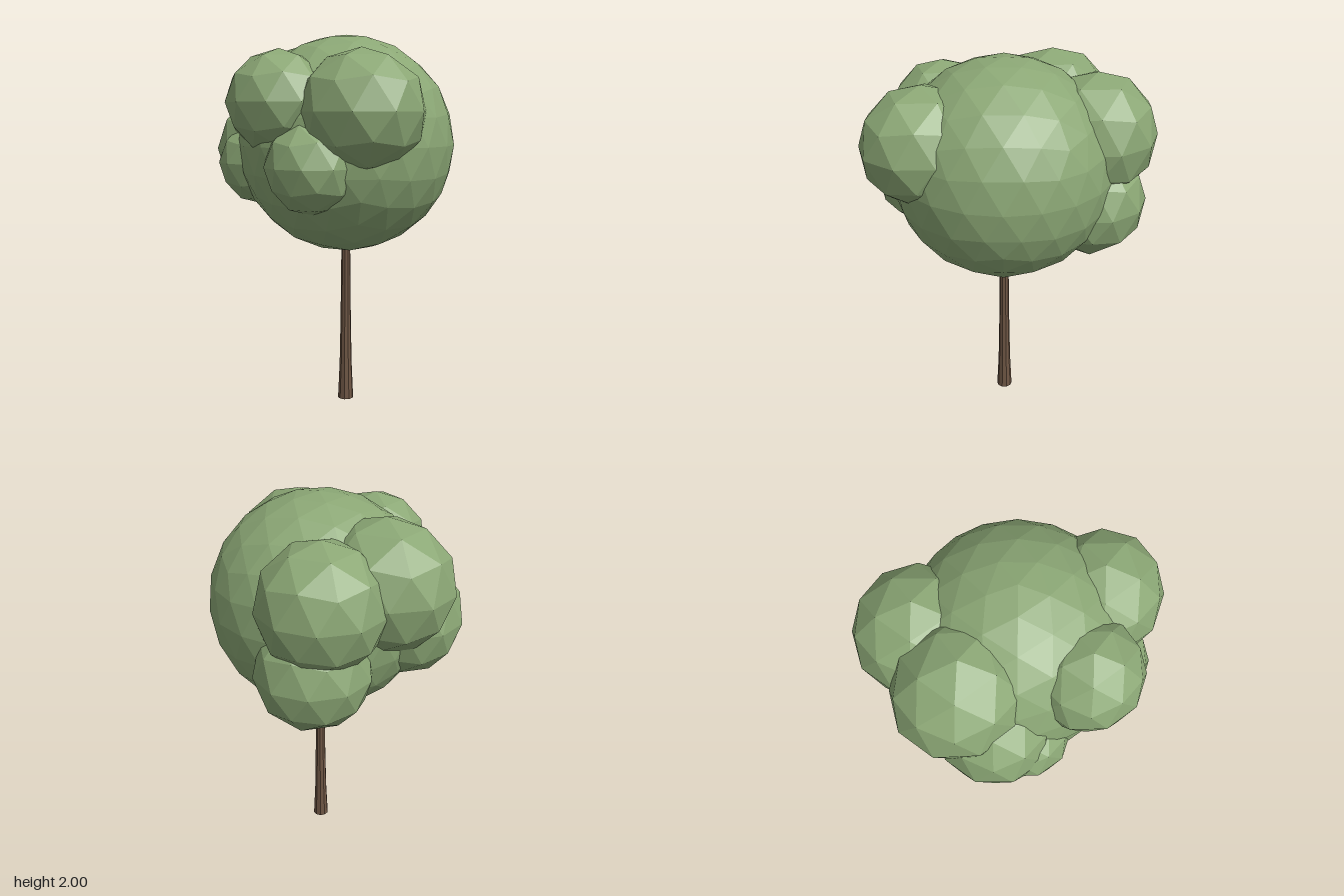
import * as THREE from 'three';

const leafGreen = new THREE.MeshStandardMaterial({ color: 0x8ba775, flatShading: true });
leafGreen.name = 'leafGreen';
const barkBrown = new THREE.MeshStandardMaterial({ color: 0x6e5644, flatShading: true });
barkBrown.name = 'barkBrown';

// Faceted ball with a corner pointing straight up
function leafBall(name, center, radii, detail) {
  const geo = new THREE.IcosahedronGeometry(1, detail);
  geo.rotateZ(-Math.atan(2 / (1 + Math.sqrt(5))));
  geo.scale(...radii);
  geo.computeVertexNormals();
  const ball = new THREE.Mesh(geo, leafGreen);
  ball.name = name;
  ball.position.set(...center);
  return ball;
}

export function createModel() {
  const tree = new THREE.Group();
  tree.name = 'tree';

  // Slim trunk, flared at the foot and closed underneath
  const profile = [[0, 0], [0.043, 0], [0.034, 0.2], [0.029, 0.45], [0.024, 0.9], [0, 0.9]]
    .map(([r, y]) => new THREE.Vector2(r, y));
  const trunk = new THREE.Mesh(new THREE.LatheGeometry(profile, 10), barkBrown);
  trunk.name = 'trunk';
  trunk.position.set(0.045, 0, -0.01);
  tree.add(trunk);

  // Large central crown
  tree.add(leafBall('crown', [0.045, 1.425, -0.01], [0.577, 0.575, 0.577], 3));

  // Smaller clumps growing out of the crown: name, centre, radii
  const clumps = [
    ['leftClump', [0.395, 1.6, 0.225], [0.33, 0.305, 0.31]],
    ['frontUpperClump', [0.01, 1.645, 0.42], [0.28, 0.265, 0.265]],
    ['frontLowerClump', [0.225, 1.33, 0.39], [0.24, 0.24, 0.24]],
    ['rightLowerClump', [-0.39, 1.395, 0.17], [0.285, 0.305, 0.29]],
    ['frontRightClump', [-0.31, 1.325, 0.29], [0.23, 0.228, 0.23]],
    ['rightUpperClump', [-0.375, 1.62, -0.02], [0.36, 0.338, 0.325]],
    ['backUpperClump', [-0.265, 1.59, -0.365], [0.325, 0.325, 0.32]],
    ['backLowerClump', [-0.22, 1.245, -0.375], [0.3, 0.3, 0.3]],
  ];
  for (const [name, center, radii] of clumps) tree.add(leafBall(name, center, radii, 1));

  return tree;
}
